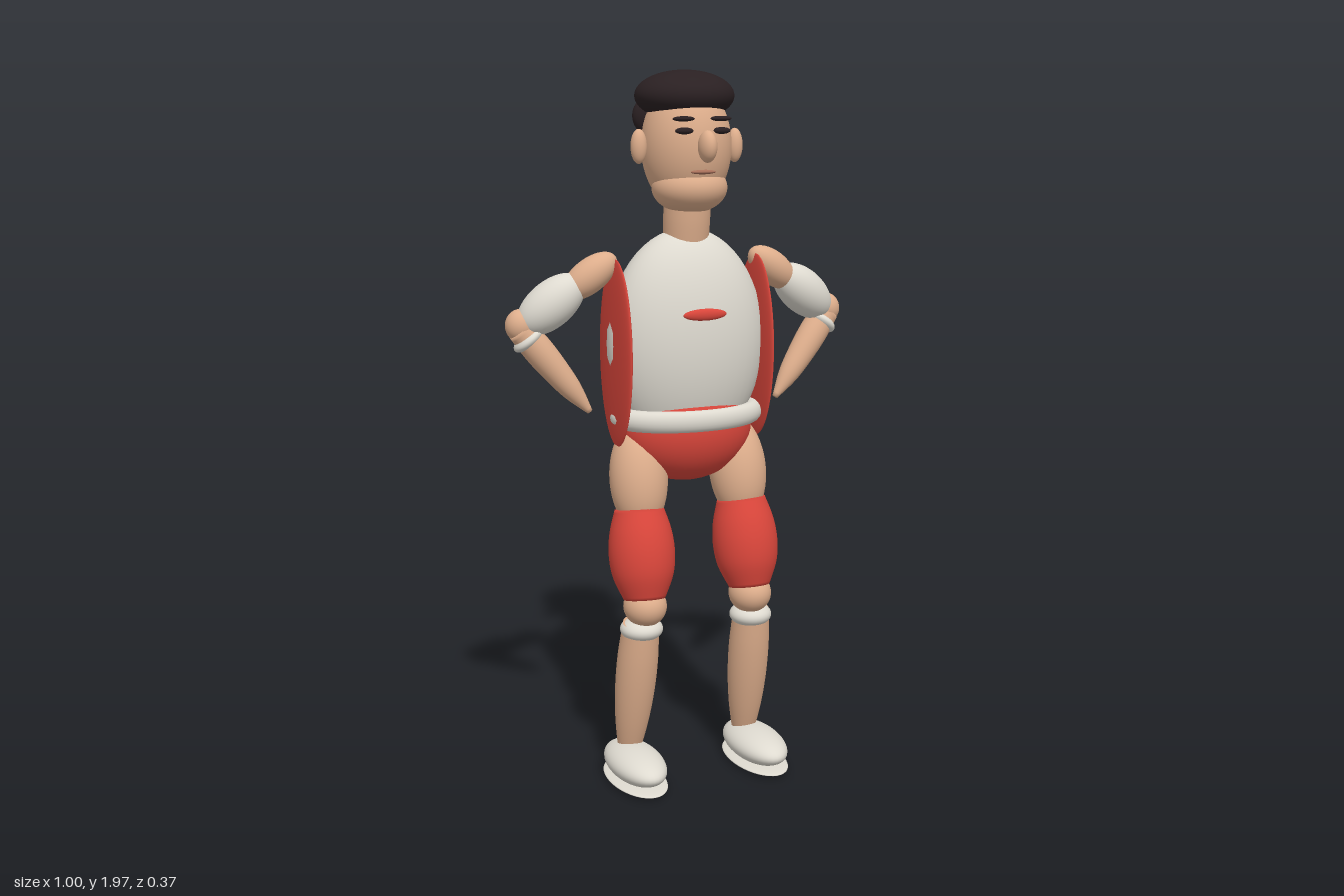
import * as THREE from 'three';

const mat = (name, color) => {
  const m = new THREE.MeshStandardMaterial({ color });
  m.name = name;
  return m;
};

export function createModel() {
  const model = new THREE.Group();
  model.name = 'figure';
  const skin = mat('skin', 0xdeae8c);
  const white = mat('off white', 0xdedad0);
  const red = mat('red', 0xda463b);
  const dark = mat('dark hair', 0x2a2022);
  const lip = mat('lip', 0xa8705a);
  const ball = new THREE.SphereGeometry(1, 40, 28);
  const up = new THREE.Vector3(0, 1, 0);

  const add = (name, geometry, material, position) => {
    const mesh = new THREE.Mesh(geometry, material);
    mesh.name = name;
    mesh.position.set(...position);
    model.add(mesh);
    return mesh;
  };

  // Ellipsoid, optionally with its y axis pointing along a direction
  const oval = (name, material, position, radii, dir) => {
    const mesh = add(name, ball, material, position);
    mesh.scale.set(...radii);
    if (dir) mesh.quaternion.setFromUnitVectors(up, new THREE.Vector3(...dir).normalize());
    return mesh;
  };

  // Limb segment from a to b with radii spaced evenly and smoothly along it
  const limb = (name, material, a, b, radii) => {
    const start = new THREE.Vector3(...a);
    const axis = new THREE.Vector3(...b).sub(start);
    const length = axis.length();
    const curve = new THREE.SplineCurve(radii.map((r, i) =>
      new THREE.Vector2(r, length * i / (radii.length - 1))));
    const profile = [new THREE.Vector2(0, 0), ...curve.getPoints(20), new THREE.Vector2(0, length)];
    const mesh = add(name, new THREE.LatheGeometry(profile, 32), material, a);
    mesh.quaternion.setFromUnitVectors(up, axis.normalize());
    return mesh;
  };

  // Head
  oval('head', skin, [0, 1.8, -0.11], [0.122, 0.175, 0.125]);
  oval('jaw', skin, [0, 1.69, -0.088], [0.103, 0.07, 0.1]);
  oval('nose', skin, [0, 1.802, 0.033], [0.024, 0.042, 0.034]);
  oval('mouth', lip, [0, 1.735, 0.006], [0.036, 0.006, 0.009]);
  oval('hairCap', dark, [0, 1.932, -0.122], [0.136, 0.068, 0.127]);
  oval('backHair', dark, [0, 1.878, -0.203], [0.118, 0.078, 0.046]);
  limb('neck', skin, [0, 1.54, -0.115], [0, 1.67, -0.1], [0.062, 0.064, 0.062]);

  // Torso
  oval('torso', white, [0, 1.27, -0.115], [0.227, 0.31, 0.14]);
  oval('trunks', red, [0, 1.03, -0.113], [0.19, 0.152, 0.133]);
  oval('chestBadge', red, [0, 1.358, 0.019], [0.063, 0.016, 0.01]);
  const belt = add('belt', new THREE.TorusGeometry(0.192, 0.03, 20, 64), white, [0, 1.067, -0.108]);
  belt.rotation.x = Math.PI / 2;
  belt.scale.y = 0.64;

  for (const s of [-1, 1]) {
    const side = s > 0 ? 'left' : 'right';

    // Face
    oval(side + 'Ear', skin, [s * 0.14, 1.8, -0.103], [0.022, 0.046, 0.022]);
    oval(side + 'Eye', dark, [s * 0.053, 1.842, 0.003], [0.026, 0.009, 0.012]);
    oval(side + 'Brow', dark, [s * 0.053, 1.873, -0.002], [0.031, 0.007, 0.014]);

    // Side panel
    oval(side + 'Panel', red, [s * 0.208, 1.246, -0.108], [0.015, 0.257, 0.12]);

    // Arm bent with the elbow out
    oval(side + 'Shoulder', skin, [s * 0.272, 1.458, -0.134], [0.046, 0.088, 0.047], [s * 0.8, -0.6, -0.12]);
    oval(side + 'Sleeve', white, [s * 0.377, 1.385, -0.15], [0.062, 0.108, 0.062], [s * 0.78, -0.63, -0.12]);
    oval(side + 'Elbow', skin, [s * 0.458, 1.33, -0.165], [0.042, 0.045, 0.042]);
    const hand = [s * 0.28, 1.09, -0.122];
    const elbow = [s * 0.458, 1.32, -0.162];
    limb(side + 'Forearm', skin, hand, elbow, [0.008, 0.028, 0.037, 0.041, 0.038]);
    oval(side + 'ArmBand', white, [s * 0.44, 1.292, -0.158], [0.047, 0.021, 0.047], [s * 0.18, 0.23, -0.04]);

    // Leg
    oval(side + 'Thigh', skin, [s * 0.15, 0.9, -0.095], [0.081, 0.15, 0.081], [s * -0.03, 1, -0.2]);
    limb(side + 'ThighGuard', red, [s * 0.16, 0.57, -0.03], [s * 0.155, 0.815, -0.08],
      [0.058, 0.084, 0.092, 0.086, 0.068]);
    oval(side + 'Knee', skin, [s * 0.16, 0.55, -0.027], [0.06, 0.057, 0.064]);
    oval(side + 'SockBand', white, [s * 0.167, 0.482, -0.037], [0.06, 0.034, 0.06]);
    limb(side + 'Shin', skin, [s * 0.18, 0.09, -0.11], [s * 0.169, 0.5, -0.035],
      [0.03, 0.047, 0.056, 0.057, 0.05]);

    // Shoe
    oval(side + 'Shoe', white, [s * 0.187, 0.087, -0.042], [0.076, 0.046, 0.15]);
    oval(side + 'Sole', white, [s * 0.187, 0.042, -0.042], [0.078, 0.01, 0.153]);
  }
  return model;
}
